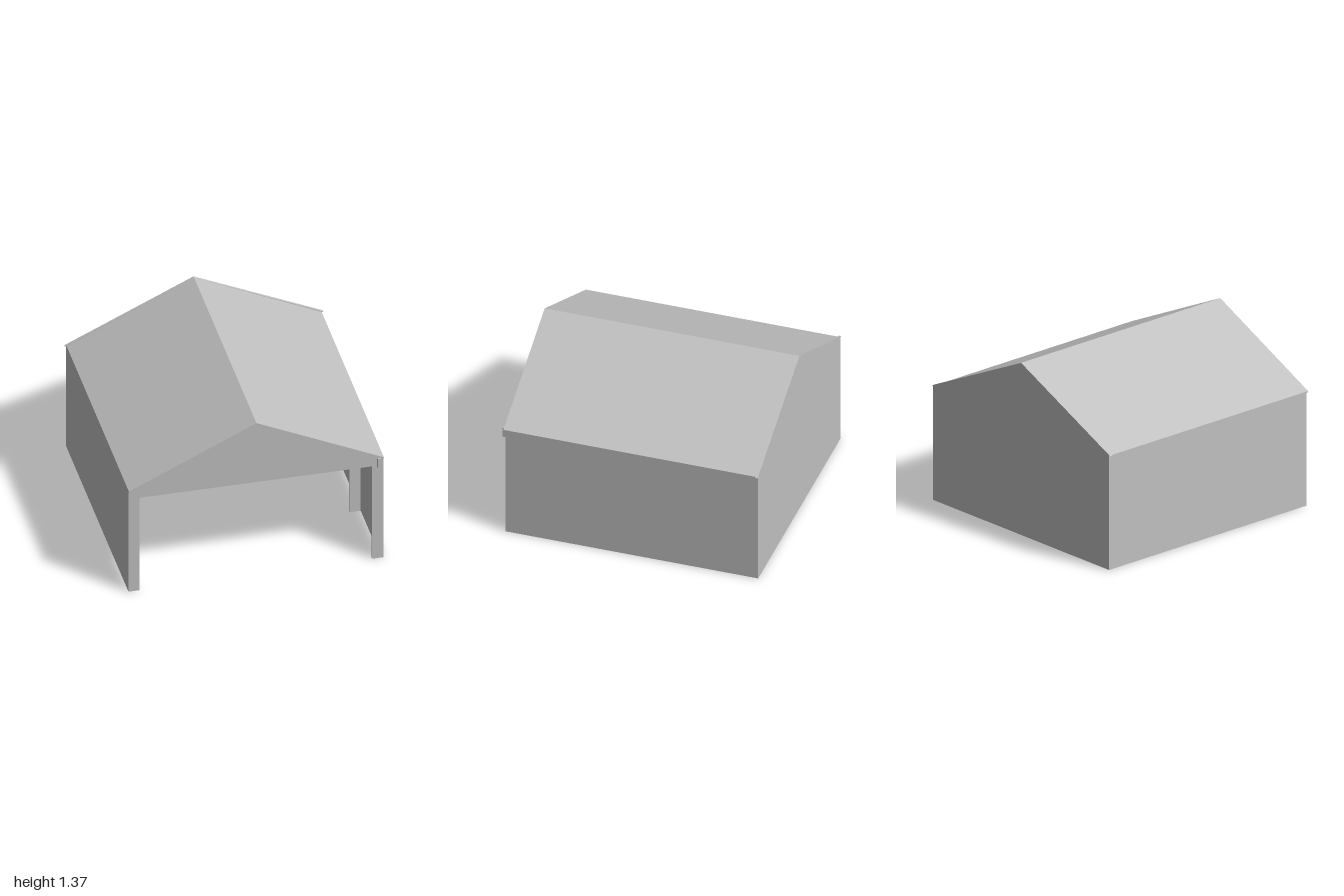
import * as THREE from 'three';

const RIDGE = 1.365, EAVE = 0.905, HALF = 0.97;
const slope = (RIDGE - EAVE) / HALF;

export function createModel() {
  const group = new THREE.Group();
  const grey = new THREE.MeshStandardMaterial({ color: 0xc0c0c0 });
  grey.name = 'plain grey';

  const add = (name, geometry) => {
    const mesh = new THREE.Mesh(geometry, grey);
    mesh.name = name;
    group.add(mesh);
    return mesh;
  };
  // Box given by its two extreme corners
  const box = (name, x0, x1, y0, y1, z0, z1) => {
    const mesh = add(name, new THREE.BoxGeometry(Math.abs(x1 - x0), y1 - y0, z1 - z0));
    mesh.position.set((x0 + x1) / 2, (y0 + y1) / 2, (z0 + z1) / 2);
  };
  // Outline in x and y, extruded from z0 to z1
  const slab = (name, points, z0, z1) => {
    const shape = new THREE.Shape(points.map(([x, y]) => new THREE.Vector2(x, y)));
    const mesh = add(name, new THREE.ExtrudeGeometry(shape, { depth: z1 - z0, bevelEnabled: false }));
    mesh.position.z = z0;
  };

  // Roof sheets
  const t = 0.01;
  slab('roof', [
    [-HALF, EAVE], [-HALF, EAVE - t], [0, RIDGE - t],
    [HALF, EAVE - t], [HALF, EAVE], [0, RIDGE],
  ], -0.985, 0.985);

  // Gable panels, the back one slightly wider
  slab('frontGable', [[-HALF, EAVE], [HALF, EAVE], [0, RIDGE]], 0.97, 0.986);
  slab('backGable', [[-0.985, EAVE], [0.985, EAVE], [0, RIDGE]], -1, -0.98);

  // Back wall and front header
  box('backWall', -HALF, HALF, 0, EAVE, -1, -0.98);
  box('frontHeader', -0.885, 0.885, 0.825, EAVE, 0.95, 0.968);

  // Side walls, eave beams and posts
  for (const s of [-1, 1]) {
    const side = s > 0 ? 'left' : 'right';
    box(side + 'Wall', s * 0.95, s * HALF, 0, EAVE - 0.005, -0.98, 0.97);
    box(side + 'EaveBeam', s * 0.92, s * 0.945, 0.825, EAVE, -0.98, s > 0 ? 1 : 0.965);
    box(side + 'FrontPost', s * 0.885, s * 0.95, 0, EAVE, 0.95, 0.97);
    box(side + 'BackPost', s * 0.885, s * 0.95, 0, EAVE, -0.98, -0.96);
    for (const z of [-0.325, 0.325]) {
      box(side + 'MiddlePost', s * 0.865, s * 0.95, 0, EAVE, z - 0.012, z + 0.012);
    }
  }

  // Rafter pairs under the roof, with square-cut feet
  const top = (x) => RIDGE - t - slope * x;
  const bottom = (x) => RIDGE - 0.115 - slope * x;
  for (const z of [-0.968, -0.325, 0.325, 0.976]) {
    const h = 0.009;
    slab('rafterPair', [
      [-0.91, top(0.91)], [-0.865, bottom(0.865)], [0, bottom(0)],
      [0.865, bottom(0.865)], [0.91, top(0.91)], [0, top(0)],
    ], z - h, z + h);
  }

  return group;
}
